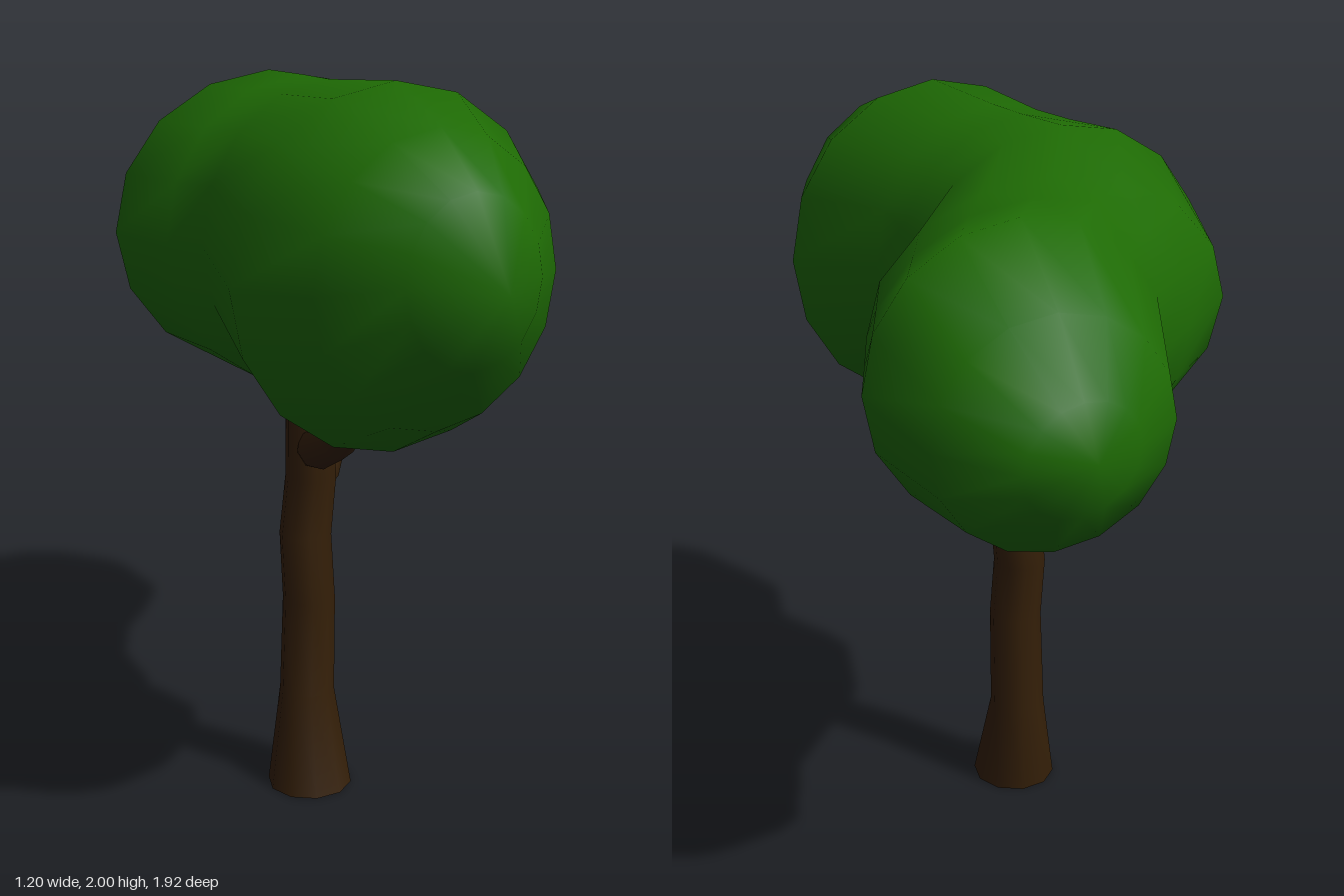
import * as THREE from 'three';

const V = (x, y, z) => new THREE.Vector3(x, y, z);

// Skin closed rings of points into one smooth surface, with optional end tips
function loft(rings, startTip, endTip) {
  const n = rings[0].length;
  const pts = rings.flat();
  const index = [];
  for (let k = 0; k < rings.length - 1; k++) {
    for (let i = 0; i < n; i++) {
      const j = (i + 1) % n;
      const a = k * n + i, b = k * n + j;
      index.push(a, b, a + n, b, b + n, a + n);
    }
  }
  const last = (rings.length - 1) * n;
  if (startTip) {
    const s = pts.push(startTip) - 1;
    for (let i = 0; i < n; i++) index.push(s, (i + 1) % n, i);
  }
  if (endTip) {
    const e = pts.push(endTip) - 1;
    for (let i = 0; i < n; i++) index.push(last + i, last + (i + 1) % n, e);
  }
  const geo = new THREE.BufferGeometry().setFromPoints(pts);
  geo.setIndex(index);
  geo.computeVertexNormals();
  return geo;
}

// Ring of points around a centre, spanned by two half-axes
function ring(center, u, v, sides) {
  return Array.from({ length: sides }, (_, i) => {
    const a = (i / sides) * Math.PI * 2;
    return center.clone().addScaledVector(u, Math.cos(a)).addScaledVector(v, Math.sin(a));
  });
}

// Tapered limb through stations [x, y, z, radius]
function limb(stations, sides, upright = false) {
  const p = stations.map(([x, y, z]) => V(x, y, z));
  return loft(p.map((c, i) => {
    const t = upright ? V(0, 1, 0)
      : p[Math.min(i + 1, p.length - 1)].clone().sub(p[Math.max(i - 1, 0)]).normalize();
    const u = V(1, 0, 0).addScaledVector(t, -t.x).normalize();
    const v = t.clone().cross(u);
    const r = stations[i][3];
    return ring(c, u.multiplyScalar(r), v.multiplyScalar(r), sides);
  }));
}

export function createModel() {
  const bark = new THREE.MeshStandardMaterial({ color: 0x341f08, side: THREE.DoubleSide });
  bark.name = 'bark brown';
  const leaf = new THREE.MeshStandardMaterial({ color: 0x1e6a04 });
  leaf.name = 'leaf green';

  const tree = new THREE.Group();
  tree.name = 'tree';
  const add = (name, geo, mat) => {
    const mesh = new THREE.Mesh(geo, mat);
    mesh.name = name;
    tree.add(mesh);
  };

  // Trunk with flared, open foot
  add('trunk', limb([
    [-0.145, 0, 0.025, 0.118],
    [-0.13, 0.27, -0.015, 0.077],
    [-0.13, 0.55, 0, 0.073],
    [-0.128, 0.73, -0.022, 0.072],
    [-0.115, 0.9, -0.012, 0.07],
    [-0.125, 1.08, 0, 0.064],
    [-0.13, 1.3, 0, 0.058],
  ], 10, true), bark);

  // Branches that carry the front and back lobes
  add('frontBranch', limb([
    [-0.12, 0.95, -0.02, 0.03],
    [-0.122, 0.995, 0.045, 0.062],
    [-0.13, 1.045, 0.165, 0.051],
    [-0.135, 1.145, 0.27, 0.047],
    [-0.14, 1.28, 0.4, 0.04],
  ], 8), bark);
  add('backBranch', limb([
    [-0.115, 0.87, -0.005, 0.035],
    [-0.06, 0.885, -0.075, 0.06],
    [0.015, 0.93, -0.158, 0.053],
    [0.075, 1.03, -0.305, 0.045],
    [0.175, 1.087, -0.408, 0.04],
    [0.23, 1.19, -0.51, 0.036],
    [0.26, 1.28, -0.56, 0.033],
  ], 8), bark);

  // Canopy cross-sections, front to back: right edge x, z, left edge x, z, top y, bottom y
  const sections = [
    [-0.32, 0.82, 0.02, 0.85, 1.8, 1.39],
    [-0.47, 0.67, 0.18, 0.68, 1.92, 1.21],
    [-0.55, 0.41, 0.31, 0.46, 2.0, 1.09],
    [-0.5, 0.16, 0.21, 0.16, 1.98, 1.21],
    [-0.535, 0.02, 0.24, 0.02, 1.98, 1.18],
    [-0.6, -0.15, 0.27, -0.12, 1.98, 1.2],
    [-0.49, -0.41, 0.44, -0.22, 1.91, 1.2],
    [-0.32, -0.5, 0.52, -0.36, 1.9, 1.17],
    [-0.16, -0.61, 0.6, -0.5, 1.9, 1.16],
    [-0.01, -0.86, 0.57, -0.75, 1.76, 1.19],
    [0.12, -0.91, 0.44, -0.92, 1.59, 1.32],
  ];
  const rings = sections.map(([rx, rz, lx, lz, top, bottom]) => ring(
    V((rx + lx) / 2, (top + bottom) / 2, (rz + lz) / 2),
    V((rx - lx) / 2, 0, (rz - lz) / 2),
    V(0, (top - bottom) / 2, 0), 16));
  add('canopy', loft(rings, V(-0.14, 1.59, 0.96), V(0.27, 1.46, -0.96)), leaf);

  return tree;
}
